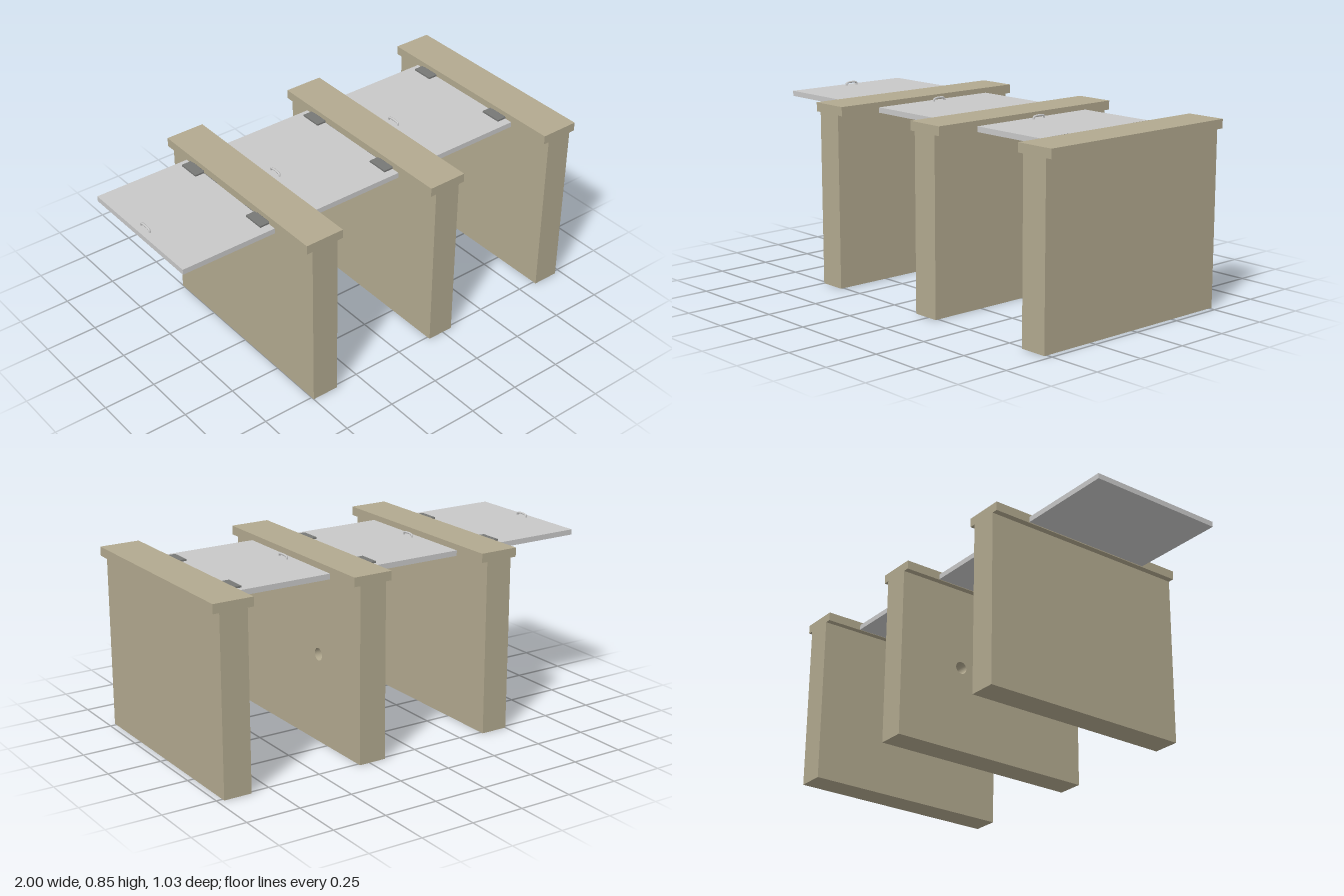
import * as THREE from 'three';

const concrete = new THREE.MeshStandardMaterial({ name: 'concrete', color: 0xb2a98f });
const steel = new THREE.MeshStandardMaterial({ name: 'light steel', color: 0xc8c8c8 });
const hingeGrey = new THREE.MeshStandardMaterial({ name: 'hinge grey', color: 0x777876 });

const DEPTH = 1.03, STEM_H = 0.808, STEM_W = 0.13;

// Box given by its min and max on each axis
function box(name, material, x0, x1, y0, y1, z0, z1) {
  const mesh = new THREE.Mesh(new THREE.BoxGeometry(x1 - x0, y1 - y0, z1 - z0), material);
  mesh.position.set((x0 + x1) / 2, (y0 + y1) / 2, (z0 + z1) / 2);
  mesh.name = name;
  return mesh;
}

// T-shaped wall, optionally pierced by a round pipe hole
function createWall(x, pierced) {
  const wall = new THREE.Group();
  wall.name = 'wall';
  wall.position.x = x;

  const side = new THREE.Shape();
  side.moveTo(-DEPTH / 2, 0);
  side.lineTo(DEPTH / 2, 0);
  side.lineTo(DEPTH / 2, STEM_H);
  side.lineTo(-DEPTH / 2, STEM_H);
  side.closePath();
  if (pierced) side.holes.push(new THREE.Path().absarc(0.183, 0.412, 0.029, 0, Math.PI * 2, true));
  const geometry = new THREE.ExtrudeGeometry(side, { depth: STEM_W, bevelEnabled: false, curveSegments: 24 });
  geometry.translate(0, 0, -STEM_W / 2).rotateY(Math.PI / 2);
  const stem = new THREE.Mesh(geometry, concrete);
  stem.name = 'wallStem';

  wall.add(stem, box('wallCap', concrete, -0.094, 0.094, STEM_H, 0.85, -DEPTH / 2, DEPTH / 2));
  return wall;
}

// Hatch panel whose hinged edge lies just left of x = 0
function createHatch(x) {
  const hatch = new THREE.Group();
  hatch.name = 'hatch';
  hatch.position.x = x;
  hatch.add(box('panel', steel, -0.465, -0.006, 0.803, 0.828, -0.345, 0.31));

  // Each hinge: leaf on the panel, knuckle in the gap, leaf on the cap
  for (const [z0, z1, w0, w1] of [[-0.315, -0.21, -0.295, -0.125], [0.167, 0.27, 0.08, 0.25]]) {
    hatch.add(box('hingeLeaf', hingeGrey, -0.051, -0.005, 0.828, 0.836, z0, z1));
    hatch.add(box('hingeWallLeaf', hingeGrey, -0.002, 0.004, 0.811, 0.819, w0, w1));
    const knuckle = new THREE.Mesh(new THREE.CylinderGeometry(0.004, 0.004, z1 - z0 - 0.02, 12), hingeGrey);
    knuckle.rotation.x = Math.PI / 2;
    knuckle.position.set(-0.002, 0.83, (z0 + z1) / 2);
    knuckle.name = 'hingeKnuckle';
    hatch.add(knuckle);
  }

  // Arched pull handle near the free edge
  const arch = new THREE.CatmullRomCurve3([
    [0.826, -0.052], [0.838, -0.05], [0.842, -0.038],
    [0.842, -0.002], [0.838, 0.01], [0.826, 0.012],
  ].map(([y, z]) => new THREE.Vector3(-0.43, y, z)));
  const handle = new THREE.Mesh(new THREE.TubeGeometry(arch, 24, 0.005, 8), steel);
  handle.name = 'handle';
  hatch.add(handle);
  return hatch;
}

export function createModel() {
  const model = new THREE.Group();
  model.name = 'walledHatches';
  [-0.435, 0.235, 0.906].forEach((x, i) => {
    model.add(createWall(x, i === 1), createHatch(x - 0.1));
  });
  return model;
}
